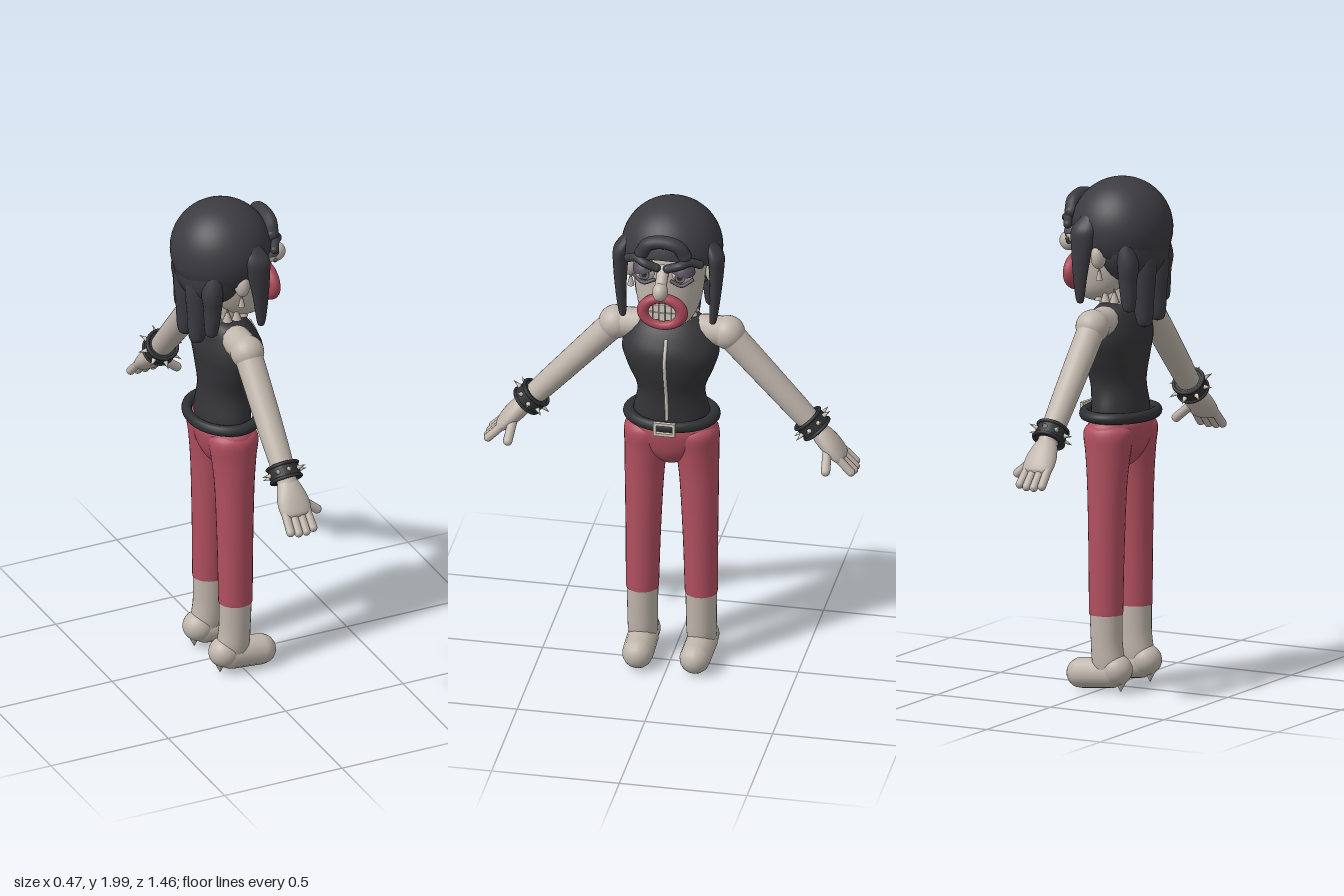
import * as THREE from 'three';

const mat = (name, color, side = THREE.FrontSide) => {
  const m = new THREE.MeshStandardMaterial({ color, side });
  m.name = name;
  return m;
};
const V = (x, y, z) => new THREE.Vector3(x, y, z);

// Smooth closed skin through elliptical sections [y, cx, cz, rx, rz], listed bottom to top
function loft(sections, steps = 32, sides = 28) {
  const mid = new THREE.CatmullRomCurve3(sections.map(s => V(s[1], s[0], s[2])), false, 'catmullrom', 0.5);
  const rad = new THREE.CatmullRomCurve3(sections.map(s => V(s[3], s[4], 0)), false, 'catmullrom', 0.5);
  const pos = [], index = [];
  for (let i = 0; i <= steps; i++) {
    const c = mid.getPoint(i / steps), r = rad.getPoint(i / steps);
    for (let j = 0; j < sides; j++) {
      const a = (j / sides) * Math.PI * 2;
      pos.push(c.x + Math.max(r.x, 0.0005) * Math.cos(a), c.y, c.z + Math.max(r.y, 0.0005) * Math.sin(a));
      if (i < steps) {
        const p = i * sides + j, q = i * sides + (j + 1) % sides;
        index.push(p, p + sides, q, q, p + sides, q + sides);
      }
    }
  }
  const g = new THREE.BufferGeometry();
  g.setAttribute('position', new THREE.Float32BufferAttribute(pos, 3));
  g.setIndex(index);
  g.computeVertexNormals();
  return g;
}

export function createModel() {
  const model = new THREE.Group();
  const skin = mat('skin', 0xc0b6ac);
  const hair = mat('hair', 0x3c3b40, THREE.DoubleSide);
  const vest = mat('vest', 0x353538);
  const leather = mat('leather', 0x2f3033);
  const red = mat('trouserRed', 0xb25060);
  const lip = mat('lipRed', 0xa84858);
  const shadow = mat('eyelidPurple', 0x57505f);
  const tooth = mat('toothIvory', 0xd2cabf);
  const iris = mat('irisGrey', 0x77716c);

  const add = (parent, name, geometry, material, p = [0, 0, 0], s = [1, 1, 1]) => {
    const m = new THREE.Mesh(geometry, material);
    m.name = name;
    m.position.set(...p);
    m.scale.set(...s);
    parent.add(m);
    return m;
  };
  const ball = (parent, name, r, material, p, s) =>
    add(parent, name, new THREE.SphereGeometry(r, 28, 20), material, p, s);
  const tube = (parent, name, pts, r, material) => {
    const c = new THREE.CatmullRomCurve3(pts.map(p => V(...p)));
    add(parent, name, new THREE.TubeGeometry(c, 24, r, 10), material);
    for (const p of [pts[0], pts[pts.length - 1]]) ball(parent, name + 'End', r, material, p);
  };
  // Rounded rod between two points
  const rod = (parent, name, a, b, r, material) => {
    const A = V(...a), d = V(...b).sub(A);
    const m = add(parent, name, new THREE.CapsuleGeometry(r, d.length(), 6, 14), material);
    m.position.copy(A).addScaledVector(d, 0.5);
    m.quaternion.setFromUnitVectors(V(0, 1, 0), d.normalize());
  };

  // Torso, hips and neck
  add(model, 'vest', loft([[1.04, -0.03, 0, 0.098, 0.15], [1.1, -0.03, 0, 0.1, 0.148], [1.2, -0.02, 0, 0.1, 0.132],
    [1.3, -0.01, 0, 0.118, 0.168], [1.38, -0.01, 0, 0.126, 0.19], [1.45, -0.02, 0, 0.105, 0.168],
    [1.5, -0.03, 0, 0.078, 0.125], [1.52, -0.03, 0, 0.05, 0.07]], 40, 36), vest);
  add(model, 'hips', loft([[0.86, -0.03, 0, 0.01, 0.01], [0.89, -0.03, 0, 0.06, 0.06], [0.94, -0.03, 0, 0.09, 0.13],
    [1.0, -0.03, 0, 0.105, 0.172], [1.04, -0.03, 0, 0.107, 0.175], [1.07, -0.03, 0, 0.095, 0.15]]), red);
  add(model, 'neck', new THREE.CylinderGeometry(0.075, 0.085, 0.2, 24), skin, [-0.03, 1.54, 0]);
  for (let i = 0; i < 14; i++) {
    const a = (i / 14) * Math.PI * 2;
    add(model, 'neckSpike', new THREE.ConeGeometry(0.02, 0.055, 8), skin,
      [-0.03 + 0.088 * Math.cos(a), 1.55, 0.088 * Math.sin(a)]);
  }

  // Zip and belt
  tube(model, 'zip', [[0.073, 1.1, 0], [0.08, 1.2, 0], [0.108, 1.3, 0], [0.116, 1.38, 0], [0.086, 1.45, 0]], 0.007, tooth);
  const belt = new THREE.TorusGeometry(0.15, 0.022, 14, 48).rotateX(Math.PI / 2).scale(0.87, 1, 1.1);
  add(model, 'belt', belt, leather, [-0.03, 1.08, 0]);
  for (const s of [-1, 1]) {
    add(model, 'buckleBar', new THREE.BoxGeometry(0.014, 0.012, 0.085), tooth, [0.119, 1.08 + s * 0.022, 0]);
    add(model, 'buckleSide', new THREE.BoxGeometry(0.014, 0.056, 0.012), tooth, [0.119, 1.08, s * 0.037]);
  }

  // Head
  add(model, 'face', loft([[1.508, 0.055, 0, 0.002, 0.002], [1.52, 0.052, 0, 0.065, 0.06], [1.56, 0.035, 0, 0.108, 0.105],
    [1.63, 0.015, 0, 0.13, 0.128], [1.72, 0.005, 0, 0.138, 0.138], [1.8, -0.005, 0, 0.143, 0.145],
    [1.88, -0.02, 0, 0.13, 0.13], [1.95, -0.03, 0, 0.08, 0.08]], 40, 36), skin);
  rod(model, 'noseBridge', [0.14, 1.79, 0], [0.195, 1.74, 0], 0.023, skin);
  ball(model, 'noseTip', 0.036, skin, [0.2, 1.727, 0], [1, 1.05, 0.85]);

  // Mouth with two rows of teeth
  const ring = new THREE.TorusGeometry(0.076, 0.024, 14, 40).rotateY(Math.PI / 2).scale(1, 0.76, 1);
  add(model, 'lips', ring, lip, [0.155, 1.617, 0]);
  ball(model, 'mouthInside', 0.07, leather, [0.147, 1.617, 0], [0.12, 0.74, 1]);
  for (const row of [-1, 1]) for (let i = -2; i <= 2; i++)
    add(model, 'tooth', new THREE.BoxGeometry(0.018, 0.034 - Math.abs(i) * 0.004, 0.022), tooth,
      [0.158 - Math.abs(i) * 0.002, 1.617 + row * (0.0185 - Math.abs(i) * 0.002), i * 0.0245]);

  // Hair cap, curl over the forehead and hanging locks at the back
  const cap = new THREE.SphereGeometry(0.196, 40, 28, 0, Math.PI * 2, 0, 1.92).rotateZ(0.53);
  add(model, 'hairCap', cap, hair, [-0.037, 1.804, 0]);
  ball(model, 'hairBack', 0.15, hair, [-0.09, 1.74, 0], [0.85, 1.0, 1.15]);
  tube(model, 'foreheadCurl', [[0.14, 1.86, -0.085], [0.145, 1.9, -0.06], [0.145, 1.915, 0],
    [0.145, 1.9, 0.06], [0.14, 1.86, 0.085]], 0.027, hair);
  for (const [z, tip, r] of [[-0.135, 1.5, 0.042], [-0.05, 1.43, 0.05], [0.05, 1.44, 0.05], [0.135, 1.5, 0.042]]) {
    const x = -0.17 + Math.abs(z) * 0.25;
    add(model, 'backLock', loft([[tip, x - 0.005, z, 0.002, 0.002], [tip + 0.02, x - 0.005, z, r * 0.6, r * 0.6],
      [tip + 0.12, x, z, r * 0.85, r * 0.85], [1.7, x, z, r, r], [1.82, x + 0.03, z * 0.9, r * 0.8, r * 0.8]], 24, 16), hair);
  }

  for (const s of [-1, 1]) {
    // Side lock, ear and earring
    add(model, 'sideLock', loft([[1.525, 0.05, s * 0.175, 0.002, 0.002], [1.54, 0.05, s * 0.177, 0.016, 0.014],
      [1.64, 0.045, s * 0.185, 0.03, 0.021], [1.76, 0.035, s * 0.188, 0.046, 0.029], [1.82, 0.03, s * 0.182, 0.052, 0.032],
      [1.87, 0.02, s * 0.155, 0.03, 0.02]], 24, 16), hair);
    ball(model, 'ear', 0.045, skin, [-0.025, 1.715, s * 0.165], [0.65, 1.1, 0.75]);
    add(model, 'earring', new THREE.ConeGeometry(0.014, 0.06, 8), skin, [-0.025, 1.65, s * 0.16]);

    // Eye, lid and brow
    ball(model, 'eye', 0.042, tooth, [0.123, 1.777, s * 0.073]);
    const disc = z => new THREE.CylinderGeometry(z, z, 0.006, 20).rotateZ(Math.PI / 2);
    add(model, 'iris', disc(0.02), iris, [0.163, 1.776, s * 0.07]);
    add(model, 'pupil', disc(0.01), leather, [0.166, 1.776, s * 0.07]);
    const lid = new THREE.SphereGeometry(0.049, 24, 12, 0, Math.PI * 2, 0, 1.35).rotateZ(-0.15).rotateX(s * 0.2);
    add(model, 'eyelid', lid, shadow, [0.123, 1.779, s * 0.073]);
    tube(model, 'eyeBag', [[0.142, 1.76, s * 0.115], [0.155, 1.737, s * 0.075], [0.15, 1.75, s * 0.035]], 0.007, shadow);
    tube(model, 'eyebrow', [[0.165, 1.812, s * 0.022], [0.17, 1.832, s * 0.07], [0.145, 1.838, s * 0.105],
      [0.125, 1.822, s * 0.14]], 0.017, hair);

    // Trouser leg, shin and foot
    add(model, 'trouserLeg', loft([[0.31, -0.03, s * 0.115, 0.066, 0.063], [0.33, -0.03, s * 0.115, 0.067, 0.064],
      [0.55, -0.03, s * 0.112, 0.07, 0.068], [0.8, -0.03, s * 0.107, 0.077, 0.076], [0.93, -0.03, s * 0.1, 0.088, 0.084],
      [1.02, -0.03, s * 0.095, 0.098, 0.088], [1.06, -0.03, s * 0.09, 0.06, 0.06]]), red);
    add(model, 'shin', loft([[0.07, -0.045, s * 0.115, 0.05, 0.05], [0.12, -0.04, s * 0.115, 0.064, 0.058],
      [0.2, -0.033, s * 0.115, 0.062, 0.059], [0.32, -0.03, s * 0.115, 0.064, 0.061]]), skin);
    ball(model, 'heel', 0.064, skin, [-0.075, 0.092, s * 0.115], [1, 0.95, 0.95]);
    add(model, 'heelTip', new THREE.ConeGeometry(0.04, 0.08, 14).rotateX(Math.PI), skin, [-0.095, 0.045, s * 0.115]);
    rod(model, 'foot', [-0.05, 0.078, s * 0.115], [0.078, 0.066, s * 0.112], 0.06, skin);

    // Arm, hanging outward from the shoulder
    const arm = new THREE.Group();
    arm.name = s > 0 ? 'frontArm' : 'backArm';
    arm.position.set(-0.03, 1.45, s * 0.22);
    arm.rotation.x = -s * 0.735;
    model.add(arm);
    ball(arm, 'shoulder', 0.066, skin, [0, 0, 0]);
    rod(model, 'shoulderBridge', [-0.03, 1.455, s * 0.13], [-0.03, 1.452, s * 0.22], 0.06, skin);
    add(arm, 'sleevelessArm', loft([[-0.56, 0, 0, 0.036, 0.034], [-0.45, 0, 0, 0.046, 0.045], [-0.25, 0, 0, 0.052, 0.05],
      [0, 0, 0, 0.055, 0.055]]), skin);

    // Spiked wristband
    add(arm, 'wristband', new THREE.CylinderGeometry(0.061, 0.061, 0.058, 28), leather, [0, -0.492, 0]);
    for (const e of [-1, 1])
      add(arm, 'wristbandRim', new THREE.TorusGeometry(0.06, 0.007, 8, 28).rotateX(Math.PI / 2), leather, [0, -0.492 + e * 0.027, 0]);
    for (let i = 0; i < 8; i++) {
      const a = (i / 8) * Math.PI * 2;
      const spike = new THREE.ConeGeometry(0.011, 0.04, 8).rotateZ(-Math.PI / 2).translate(0.075, 0, 0).rotateY(a);
      add(arm, 'wristbandSpike', spike, tooth, [0, -0.492, 0]);
    }

    // Hand
    add(arm, 'palm', loft([[-0.675, 0, 0, 0.03, 0.015], [-0.66, 0, 0, 0.06, 0.026], [-0.61, 0, 0, 0.064, 0.036],
      [-0.56, 0, 0, 0.052, 0.038], [-0.52, 0, 0, 0.036, 0.032]]), skin);
    for (let i = 0; i < 4; i++) {
      const x = -0.05 + i * 0.032;
      rod(arm, 'finger', [x * 0.9, -0.63, 0], [x, -0.727 - (i % 3 ? 0.008 : 0), s * 0.004], 0.0165, skin);
    }
    rod(arm, 'thumb', [0.03, -0.6, -s * 0.01], [0.104, -0.65, -s * 0.045], 0.018, skin);
  }
  return model;
}
